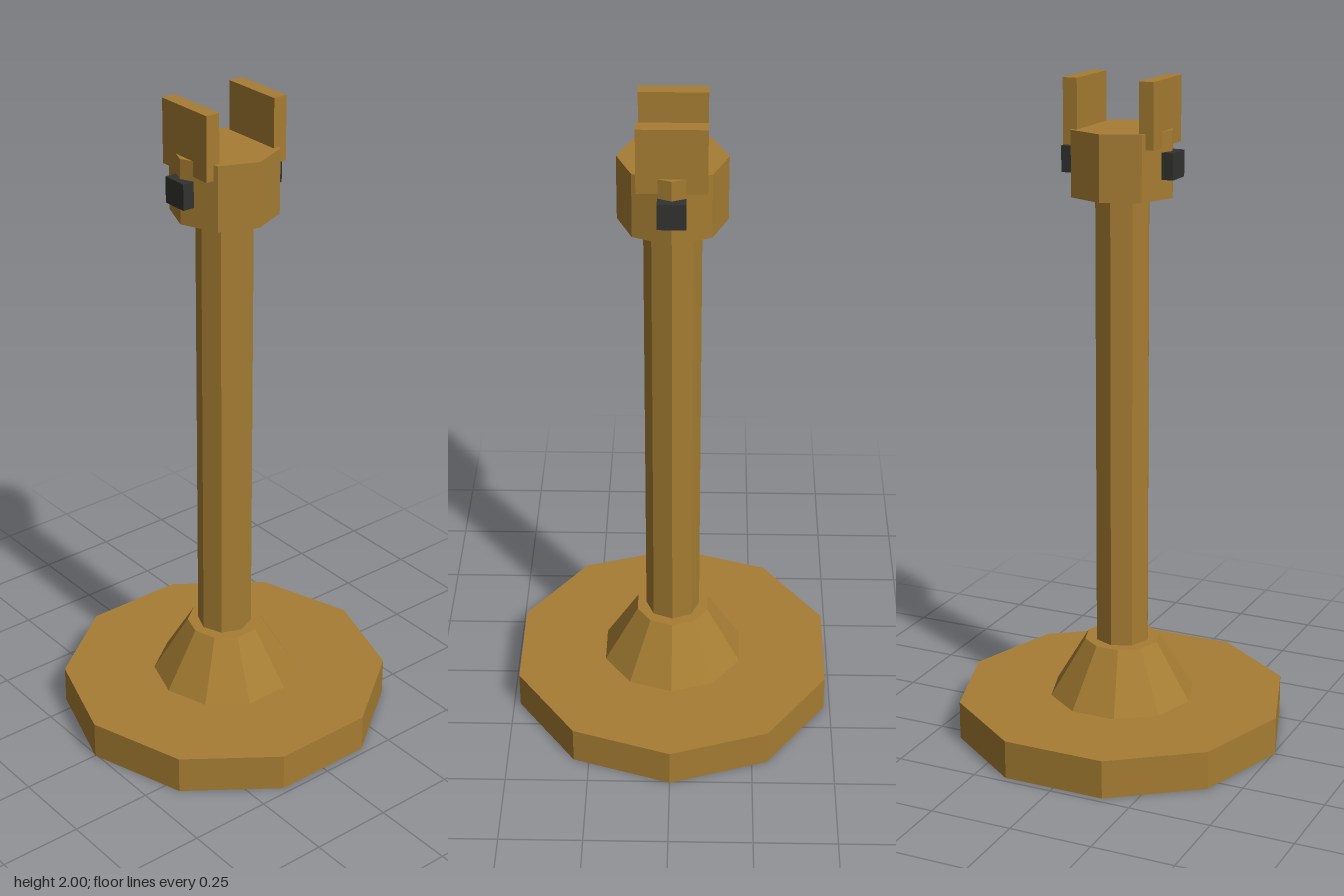
import * as THREE from 'three';

export function createModel() {
  const model = new THREE.Group();
  model.name = 'stand';

  const brass = new THREE.MeshStandardMaterial({ color: 0xa67d33, flatShading: true });
  brass.name = 'brass';
  const dark = new THREE.MeshStandardMaterial({ color: 0x323331, flatShading: true });
  dark.name = 'dark grey';

  function add(name, geometry, material, y, z = 0) {
    const mesh = new THREE.Mesh(geometry, material);
    mesh.name = name;
    mesh.position.set(0, y, z);
    model.add(mesh);
  }

  // Faceted prism or cone standing between two heights
  function prism(name, rTop, rBottom, y0, y1, sides) {
    add(name, new THREE.CylinderGeometry(rTop, rBottom, y1 - y0, sides), brass, (y0 + y1) / 2);
  }

  prism('base', 0.505, 0.505, 0, 0.117, 10);
  prism('collar', 0.115, 0.222, 0.117, 0.295, 10);
  prism('post', 0.083, 0.083, 0.29, 1.665, 8);
  prism('head', 0.156, 0.156, 1.662, 1.855, 8);

  // Matching front and back cradle plates and bolts
  for (const [side, s] of [['front', 1], ['back', -1]]) {
    add(side + 'Plate', new THREE.BoxGeometry(0.196, 0.19, 0.044), brass, 1.905, s * 0.118);
    add(side + 'Bolt', new THREE.BoxGeometry(0.08, 0.077, 0.055), dark, 1.758, s * 0.148);
  }

  return model;
}
